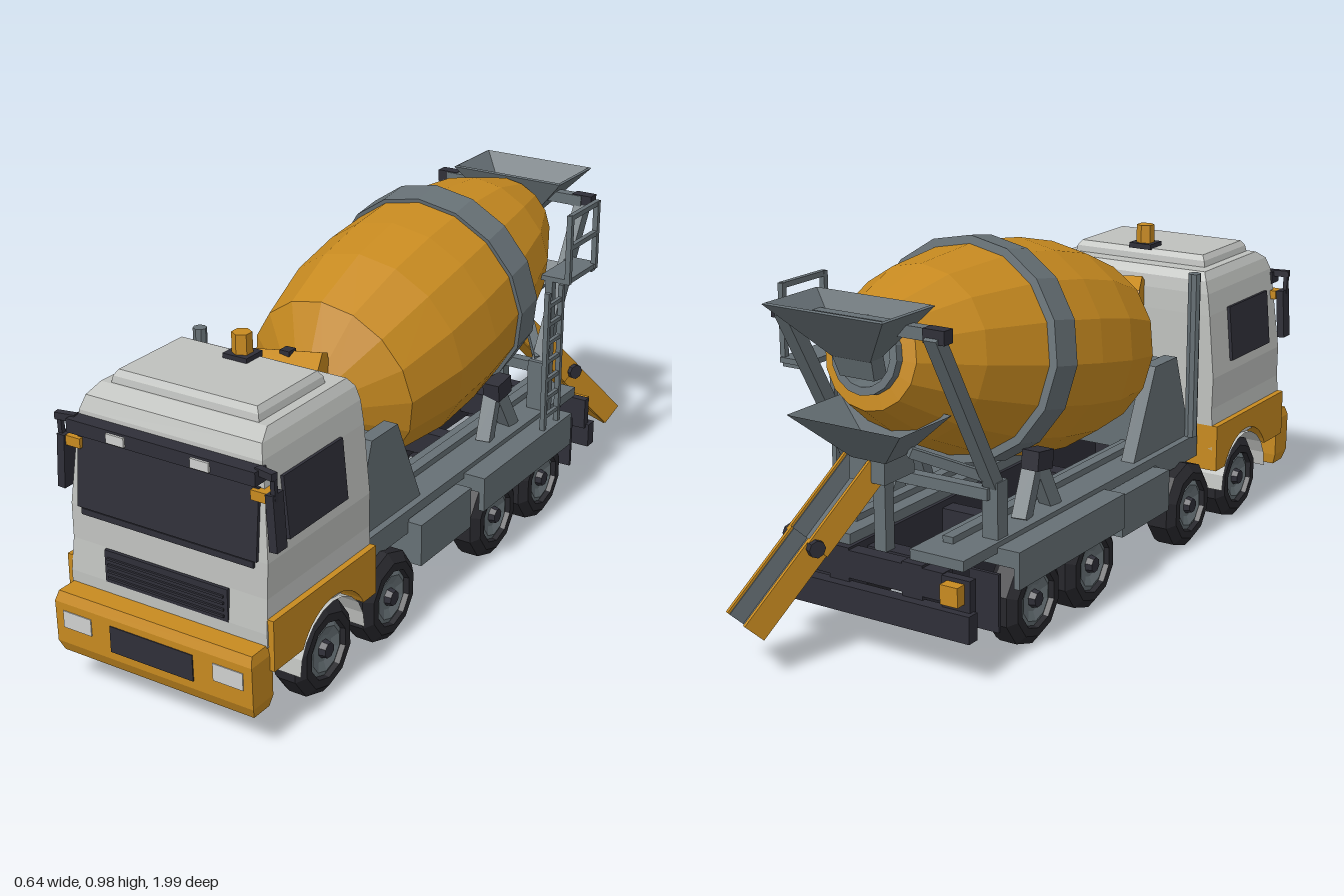
import * as THREE from 'three';

const mat = (name, color, side = THREE.FrontSide) =>
  Object.assign(new THREE.MeshStandardMaterial({ color, flatShading: true, side }), { name });

export function createModel() {
  const orange = mat('orange paint', 0xc78a20), white = mat('cab white', 0xbfc1be, THREE.DoubleSide);
  const grey = mat('steel grey', 0x667075, THREE.DoubleSide), dark = mat('dark trim', 0x2f2f38);
  const rubber = mat('tyre rubber', 0x26262b), lamp = mat('lamp', 0xcfd0ce);
  const model = new THREE.Group();
  model.name = 'mixerTruck';

  const add = (name, geo, m, x = 0, y = 0, z = 0, parent = model) => {
    const mesh = new THREE.Mesh(geo, m);
    mesh.name = name;
    mesh.position.set(x, y, z);
    parent.add(mesh);
    return mesh;
  };
  // box given by its limits on each axis
  const box = (name, m, x0, x1, y0, y1, z0, z1, parent = model) =>
    add(name, new THREE.BoxGeometry(x1 - x0, y1 - y0, z1 - z0), m, (x0 + x1) / 2, (y0 + y1) / 2, (z0 + z1) / 2, parent);
  // the same box on both sides of the truck
  const pair = (name, m, x0, x1, ...r) => {
    box(name + 'Left', m, x0, x1, ...r);
    box(name + 'Right', m, -x1, -x0, ...r);
  };
  // square bar between two points
  const bar = (name, m, a, b, w = 0.016, h = w) => {
    const A = new THREE.Vector3(...a), B = new THREE.Vector3(...b);
    const mesh = add(name, new THREE.BoxGeometry(w, h, A.distanceTo(B)), m);
    mesh.position.copy(A).add(B).multiplyScalar(0.5);
    mesh.lookAt(B);
    return mesh;
  };
  // rectangular cross-sections [y, halfWidth, zBack, zFront] joined upward
  const loft = (levels, caps) => {
    const pos = [];
    const rings = levels.map(([y, w, b, f]) => [[-w, y, f], [w, y, f], [w, y, b], [-w, y, b]]);
    const quad = (a, b, c, d) => pos.push(...a, ...b, ...c, ...a, ...c, ...d);
    for (let i = 0; i + 1 < rings.length; i++)
      for (let j = 0; j < 4; j++) {
        const k = (j + 1) % 4;
        quad(rings[i][j], rings[i][k], rings[i + 1][k], rings[i + 1][j]);
      }
    if (caps) {
      quad(...rings[rings.length - 1]);
      quad(...[...rings[0]].reverse());
    }
    const g = new THREE.BufferGeometry();
    g.setAttribute('position', new THREE.Float32BufferAttribute(pos, 3));
    g.computeVertexNormals();
    return g;
  };
  const lathe = (pts, n) => new THREE.LatheGeometry(pts.map(p => new THREE.Vector2(...p)), n);

  // cab shell and roof panel
  add('cab', loft([[0.25, 0.288, 0.5, 0.935], [0.285, 0.288, 0.5, 0.935], [0.37, 0.284, 0.5, 0.925], [0.46, 0.286, 0.5, 0.922],
    [0.64, 0.27, 0.5, 0.905], [0.7, 0.262, 0.502, 0.9], [0.735, 0.252, 0.508, 0.885], [0.758, 0.238, 0.525, 0.845]], true), white);
  add('roofPanel', loft([[0.755, 0.212, 0.575, 0.84], [0.775, 0.208, 0.578, 0.836], [0.79, 0.198, 0.588, 0.826]], true), white);
  // windows, visor and front trim
  const screen = box('windscreen', dark, -0.26, 0.26, 0.46, 0.64, 0.913, 0.922);
  screen.rotation.x = -0.095;
  for (const s of [1, -1]) {
    const win = add('sideWindow', new THREE.BoxGeometry(0.009, 0.156, 0.24), dark, s * 0.282, 0.568, 0.725);
    win.rotation.z = s * 0.09;
  }
  box('lowerScreenStrip', dark, -0.25, 0.25, 0.442, 0.458, 0.92, 0.929);
  box('sunVisor', dark, -0.27, 0.27, 0.655, 0.69, 0.895, 0.94);
  pair('visorLamp', lamp, 0.095, 0.147, 0.66, 0.684, 0.938, 0.946);
  pair('markerLamp', orange, 0.245, 0.288, 0.612, 0.637, 0.885, 0.925);
  box('grille', dark, -0.18, 0.18, 0.285, 0.37, 0.928, 0.937);
  for (let i = 0; i < 4; i++) box('grilleSlat', dark, -0.17, 0.17, 0.296 + i * 0.017, 0.302 + i * 0.017, 0.935, 0.942);
  // mirrors
  for (const s of [1, -1]) {
    const mirror = add('mirror', new THREE.BoxGeometry(0.022, 0.14, 0.04), dark, s * 0.303, 0.568, 0.91);
    mirror.rotation.z = s * 0.06;
    bar('mirrorArm', dark, [s * 0.26, 0.685, 0.915], [s * 0.312, 0.685, 0.925], 0.018);
    bar('mirrorRod', dark, [s * 0.305, 0.69, 0.92], [s * 0.305, 0.5, 0.91], 0.012);
  }
  // bumper with chamfered ends
  add('bumper', loft([[0.09, 0.282, 0.925, 0.985], [0.12, 0.29, 0.92, 0.998], [0.23, 0.29, 0.92, 1], [0.255, 0.284, 0.92, 0.99]], true), orange);
  box('bumperPlate', dark, -0.122, 0.122, 0.142, 0.212, 0.994, 1.002);
  pair('headlight', lamp, 0.18, 0.265, 0.165, 0.21, 0.994, 1.002);
  // front wings with wheel arch
  const wing = new THREE.Shape();
  wing.moveTo(-0.93, 0.19).lineTo(-0.815, 0.19);
  wing.absarc(-0.685, 0.125, 0.145, Math.PI - 0.465, 0.465, true);
  wing.lineTo(-0.5, 0.19).lineTo(-0.5, 0.322).lineTo(-0.93, 0.322);
  const wingGeo = new THREE.ExtrudeGeometry(wing, { depth: 0.095, bevelEnabled: false, curveSegments: 8 });
  wingGeo.rotateY(Math.PI / 2).translate(0.208, 0, 0);
  const linerGeo = new THREE.CylinderGeometry(0.138, 0.138, 0.09, 10, 1, true, 0, Math.PI);
  for (const s of [1, -1]) {
    add('wing', wingGeo, orange, s > 0 ? 0 : -0.511, 0, 0);
    const liner = add('archLiner', linerGeo, white, s * 0.255, 0.117, 0.685);
    liner.rotation.z = Math.PI / 2;
  }
  // roof beacon
  box('beaconBase', dark, -0.035, 0.035, 0.787, 0.802, 0.578, 0.642);
  add('beacon', new THREE.CylinderGeometry(0.025, 0.026, 0.052, 6), orange, 0, 0.827, 0.61);

  // wheels and axles
  const tyre = lathe([[0.001, 0.205], [0.116, 0.205], [0.122, 0.22], [0.122, 0.268], [0.098, 0.287], [0.076, 0.287], [0.073, 0.27]], 10);
  const rim = lathe([[0.075, 0.272], [0.06, 0.279], [0.035, 0.271], [0.001, 0.271]], 10);
  const hub = new THREE.CylinderGeometry(0.02, 0.024, 0.02, 8).translate(0, 0.279, 0);
  [0.685, 0.39, -0.145, -0.417].forEach((z, i) => {
    for (const s of [1, -1]) {
      const wheel = new THREE.Group();
      wheel.name = 'wheel';
      wheel.position.set(0, 0.117, z);
      wheel.rotation.set(0, s > 0 ? 0 : Math.PI, -s * Math.PI / 2, 'ZYX');
      wheel.rotation.set(Math.PI / 10, 0, -s * Math.PI / 2, 'XYZ');
      model.add(wheel);
      add('tyre', tyre, rubber, 0, 0, 0, wheel);
      add('rim', rim, grey, 0, 0, 0, wheel);
      add('hub', hub, dark, 0, 0, 0, wheel);
    }
    box('axle', dark, -0.21, 0.21, 0.09, 0.145, z - 0.03, z + 0.03);
    if (i > 1) add('differential', new THREE.CylinderGeometry(0.068, 0.068, 0.1, 6).rotateX(Math.PI / 2), dark, 0, 0.117, z);
  });

  // chassis rails, cross members and deck
  pair('chassisRail', dark, 0.08, 0.14, 0.15, 0.268, -0.7, 0.92);
  for (const z of [0.85, 0.5, 0.12, -0.28, -0.6]) box('crossMember', dark, -0.1, 0.1, 0.18, 0.25, z - 0.025, z + 0.025);
  pair('deck', grey, 0.09, 0.245, 0.268, 0.295, -0.68, 0.49);
  pair('deckRail', grey, 0.13, 0.16, 0.29, 0.312, -0.6, 0.45);
  pair('frontMudguard', grey, 0.17, 0.245, 0.23, 0.282, 0.25, 0.49);
  pair('sideTank', grey, 0.16, 0.285, 0.145, 0.262, -0.0, 0.255);
  pair('rearMudguard', grey, 0.2, 0.308, 0.238, 0.282, -0.535, -0.03);
  pair('mudguardSkirt', grey, 0.292, 0.308, 0.185, 0.25, -0.535, -0.03);
  pair('mudFlap', dark, 0.2, 0.285, 0.09, 0.24, -0.592, -0.582);
  // rear bumper and lamps
  box('rearBumper', dark, -0.29, 0.29, 0.11, 0.18, -0.725, -0.69);
  box('rearCrossBeam', dark, -0.2, 0.2, 0.19, 0.262, -0.7, -0.66);
  pair('rearLampBox', dark, 0.2, 0.28, 0.17, 0.26, -0.705, -0.68);
  pair('rearLamp', orange, 0.215, 0.265, 0.2, 0.25, -0.735, -0.7);

  // exhaust stack and water tank behind the cab
  add('exhaust', new THREE.CylinderGeometry(0.018, 0.018, 0.47, 8), grey, -0.238, 0.53, 0.465);
  box('airIntake', grey, 0.19, 0.225, 0.295, 0.57, 0.43, 0.475);
  add('waterTank', new THREE.CylinderGeometry(0.09, 0.09, 0.17, 8).rotateX(Math.PI / 8).rotateZ(Math.PI / 2), orange, 0, 0.65, 0.422);
  box('waterTankCap', dark, -0.014, 0.014, 0.73, 0.745, 0.41, 0.44);

  // front drum pedestal
  const ped = new THREE.Shape([[-0.48, 0.29], [-0.16, 0.29], [-0.275, 0.54], [-0.395, 0.54]].map(p => new THREE.Vector2(...p)));
  const pedGeo = new THREE.ExtrudeGeometry(ped, { depth: 0.04, bevelEnabled: false }).rotateY(Math.PI / 2);
  add('pedestalLeft', pedGeo, grey, 0.185, 0, 0);
  add('pedestalRight', pedGeo, grey, -0.225, 0, 0);
  box('pedestalCore', grey, -0.19, 0.19, 0.27, 0.53, 0.33, 0.4);

  // tilted drum, built along its own axis
  const drum = new THREE.Group();
  drum.name = 'drum';
  drum.position.set(0, 0.685, -0.29);
  drum.rotation.x = -79 * Math.PI / 180;
  model.add(drum);
  add('drumShell', lathe([[0.001, -0.625], [0.1, -0.62], [0.24, -0.53], [0.28, -0.345], [0.287, -0.18],
    [0.278, 0], [0.216, 0.245], [0.133, 0.415], [0.09, 0.418]], 16), orange, 0, 0, 0, drum);
  add('drumRing', lathe([[0.27, -0.046], [0.291, -0.046], [0.288, 0.046], [0.25, 0.046]], 16), grey, 0, 0, 0, drum);
  add('drumMouth', lathe([[0.095, 0.41], [0.095, 0.44], [0.075, 0.44], [0.06, 0.36], [0.001, 0.36]], 16), grey, 0, 0, 0, drum);

  // ring rollers, rear frame
  for (const s of [1, -1]) {
    bar('rollerLeg', grey, [s * 0.2, 0.29, -0.22], [s * 0.19, 0.42, -0.28], 0.04);
    bar('rollerLeg', grey, [s * 0.2, 0.29, -0.36], [s * 0.19, 0.42, -0.29], 0.04);
    bar('roller', dark, [s * 0.2, 0.425, -0.25], [s * 0.2, 0.435, -0.32], 0.05);
    bar('rearPost', grey, [s * 0.215, 0.28, -0.5], [s * 0.215, 0.44, -0.5], 0.045);
    bar('rearStrut', grey, [s * 0.215, 0.41, -0.495], [s * 0.215, 0.85, -0.745], 0.036);
    bar('strutCap', dark, [s * 0.19, 0.85, -0.735], [s * 0.25, 0.85, -0.735], 0.034);
    bar('collectorBrace', grey, [s * 0.215, 0.44, -0.5], [s * 0.08, 0.53, -0.66], 0.025);
  }
  bar('rearCrossbar', grey, [-0.22, 0.85, -0.73], [0.22, 0.85, -0.73], 0.03);
  bar('lowerCrossbar', grey, [-0.215, 0.41, -0.52], [0.215, 0.41, -0.52], 0.03);

  // loading hopper and discharge collector
  add('hopper', loft([[0.77, 0.055, -0.77, -0.735], [0.9, 0.172, -0.875, -0.675], [0.903, 0.166, -0.868, -0.682], [0.78, 0.05, -0.765, -0.74]]), grey);
  add('hopperSpout', loft([[0.72, 0.05, -0.75, -0.7], [0.79, 0.06, -0.775, -0.73]]), grey);
  add('collector', loft([[0.51, 0.05, -0.715, -0.64], [0.62, 0.165, -0.81, -0.605]]), grey);
  box('chutePivot', grey, -0.02, 0.085, 0.44, 0.515, -0.68, -0.56);
  bar('chutePost', grey, [0.03, 0.25, -0.62], [0.03, 0.46, -0.62], 0.035);

  // swivelled discharge chute
  const start = new THREE.Vector3(0.05, 0.47, -0.6), end = new THREE.Vector3(0.2, 0.1, -0.92);
  const chute = new THREE.Group(), len = start.distanceTo(end);
  chute.name = 'chute';
  chute.position.copy(start);
  chute.lookAt(end);
  model.add(chute);
  [[0, len * 0.52, 0.056], [len * 0.5, len, 0.05]].forEach(([a, b, w]) => {
    box('chuteFloor', orange, -w, w, -0.006, 0.006, a, b, chute);
    box('chuteLining', grey, -w + 0.008, w - 0.008, 0.005, 0.011, a, b, chute);
    for (const s of [1, -1]) {
      add('chuteWall', new THREE.BoxGeometry(0.01, 0.066, b - a), orange, s * w, 0.03, (a + b) / 2, chute);
      add('chuteWallLining', new THREE.BoxGeometry(0.004, 0.05, b - a), grey, s * (w - 0.006), 0.032, (a + b) / 2, chute);
    }
  });
  for (const s of [1, -1])
    add('chuteHinge', new THREE.CylinderGeometry(0.022, 0.022, 0.02, 8).rotateZ(Math.PI / 2), dark, s * 0.064, 0.04, len * 0.52, chute);

  // ladder, platform and handrail on the left side
  for (const z of [-0.39, -0.472]) bar('ladderRail', grey, [0.292, 0.28, z], [0.292, 0.69, z], 0.014);
  for (let i = 0; i < 7; i++) bar('ladderRung', grey, [0.292, 0.32 + i * 0.055, -0.39], [0.292, 0.32 + i * 0.055, -0.472], 0.011);
  box('platform', grey, 0.225, 0.31, 0.69, 0.704, -0.655, -0.475);
  bar('platformBracket', grey, [0.215, 0.69, -0.64], [0.305, 0.69, -0.64], 0.02);
  bar('platformPost', grey, [0.25, 0.28, -0.487], [0.25, 0.7, -0.487], 0.022);
  for (const z of [-0.482, -0.642]) bar('handrailPost', grey, [0.306, 0.69, z], [0.306, 0.888, z], 0.015);
  for (const y of [0.795, 0.882]) bar('handrail', grey, [0.306, y, -0.482], [0.306, y, -0.642], 0.014);

  return model;
}
